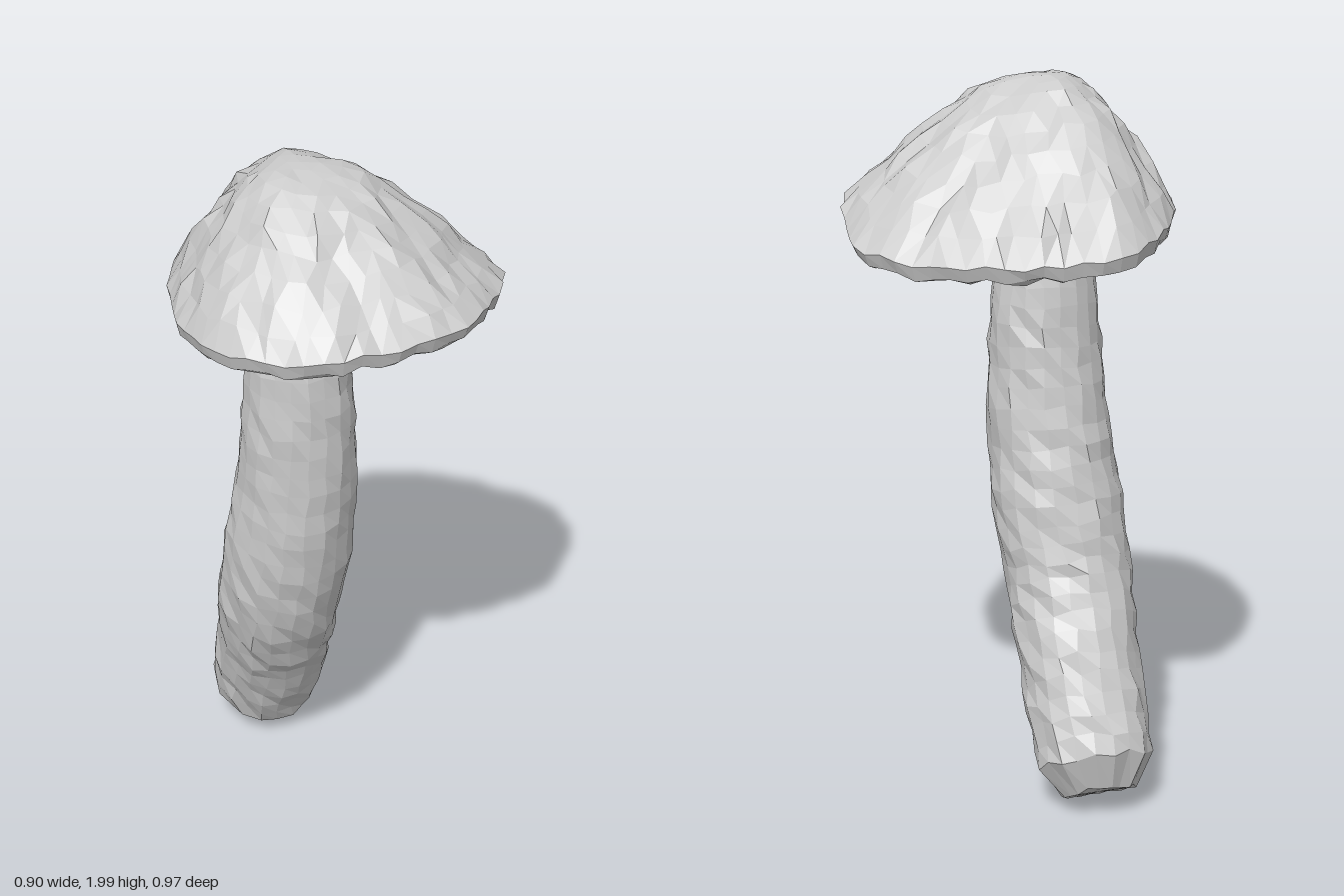
import * as THREE from 'three';

// Small seeded generator for the hand-carved surface, range -1..1
function makeNoise(seed) {
  return () => {
    seed = (seed * 16807) % 2147483647;
    return (seed / 2147483647) * 2 - 1;
  };
}

const curve = (points, closed = false) =>
  new THREE.CatmullRomCurve3(points.map((p) => new THREE.Vector3(...p)), closed, 'centripetal');

function buildMesh(name, points, index, material) {
  const geometry = new THREE.BufferGeometry().setFromPoints(points);
  geometry.setIndex(index);
  geometry.computeVertexNormals();
  const mesh = new THREE.Mesh(geometry, material);
  mesh.name = name;
  return mesh;
}

// Skins a stack of closed rings from top to bottom; the last ring is a point
function loft(name, rings, material) {
  const n = rings[0].length;
  const index = [];
  for (let j = 0; j < rings.length - 1; j++) {
    for (let i = 0; i < n; i++) {
      const k = (i + 1) % n;
      const a = j * n + i, b = j * n + k, c = a + n, d = b + n;
      index.push(a, b, c);
      if (j < rings.length - 2) index.push(b, d, c);
    }
  }
  return buildMesh(name, rings.flat(), index, material);
}

// Disc of evenly sized triangles: ring k holds 6k points around one middle point
function hexDisc(name, rings, material) {
  const at = (k, i) => (k === 0 ? 0 : 1 + 3 * k * (k - 1) + (i % (6 * k)));
  const index = [];
  for (let k = 1; k < rings.length; k++) {
    for (let sector = 0; sector < 6; sector++) {
      for (let j = 0; j < k; j++) {
        const o = sector * k + j, i = sector * (k - 1) + j;
        index.push(at(k - 1, i), at(k, o + 1), at(k, o));
        if (j < k - 1) index.push(at(k - 1, i), at(k - 1, i + 1), at(k, o + 1));
      }
    }
  }
  return buildMesh(name, rings.flat(), index, material);
}

// Bent stem: rings square to a curved centre line, with a blunt foot
function createStem(material) {
  const noise = makeNoise(71);
  const stations = [ // x, y, z, radius
    [-0.095, 1.66, 0.01, 0.125], [-0.095, 1.55, 0.013, 0.132],
    [-0.097, 1.4, 0.013, 0.148], [-0.1, 1.2, 0.004, 0.16],
    [-0.114, 1.0, -0.014, 0.172], [-0.138, 0.8, -0.043, 0.183],
    [-0.17, 0.6, -0.092, 0.177], [-0.2, 0.4, -0.19, 0.168],
    [-0.235, 0.22, -0.285, 0.166], [-0.25, 0.14, -0.328, 0.158],
  ];
  const path = curve(stations.map((s) => s.slice(0, 3)));
  const radii = curve(stations.map((s, i) => [s[3], i, 0]));
  const sides = 20, steps = 28;

  const ring = (centre, tangent, radius, rough) => {
    const u = new THREE.Vector3(1, 0, 0).addScaledVector(tangent, -tangent.x).normalize();
    const v = new THREE.Vector3().crossVectors(tangent, u);
    return Array.from({ length: sides }, (_, i) => {
      const a = (i / sides) * Math.PI * 2 + noise() * rough * 5;
      const r = radius + noise() * rough;
      return centre.clone()
        .addScaledVector(u, Math.cos(a) * r)
        .addScaledVector(v, Math.sin(a) * r)
        .addScaledVector(tangent, noise() * rough);
    });
  };

  const rings = [];
  for (let j = 0; j <= steps; j++) {
    const t = path.getUtoTmapping(j / steps);
    // the lower half is rougher than the neck
    rings.push(ring(path.getPoint(t), path.getTangent(t), radii.getPoint(t).x, 0.004 + 0.005 * t));
  }
  const end = path.getTangent(1);
  const foot = new THREE.Vector3(-0.262, 0.058, -0.348);
  rings.push(ring(foot, end, 0.1, 0.006), ring(foot, end, 0, 0));
  return loft('stem', rings, material);
}

// Lopsided domed cap with a wavy rim and an off-centre crown
function createCap(material) {
  const noise = makeNoise(1234);
  const rim = curve([
    [0.45, 1.655, -0.07], [0.43, 1.67, 0.09], [0.37, 1.68, 0.27], [0.22, 1.675, 0.39],
    [0, 1.66, 0.48], [-0.12, 1.655, 0.465], [-0.25, 1.645, 0.41], [-0.37, 1.64, 0.27],
    [-0.445, 1.645, 0.02], [-0.45, 1.645, -0.12], [-0.41, 1.63, -0.3], [-0.365, 1.605, -0.41],
    [-0.28, 1.58, -0.47], [-0.1, 1.57, -0.483], [0.06, 1.56, -0.483], [0.2, 1.56, -0.44],
    [0.38, 1.58, -0.33],
  ], true);
  const crown = new THREE.Vector3(-0.09, 2, 0);
  const hollow = new THREE.Vector3(-0.09, 1.62, 0.01);

  // share of the way down to the rim, for even steps outwards from the crown
  const falls = [0, 0.01, 0.045, 0.105, 0.195, 0.31, 0.435, 0.565, 0.705, 0.85, 1];
  const last = falls.length - 1;
  const edge = rim.getSpacedPoints(6 * last).slice(0, -1).map((e) => {
    const s = 1 + noise() * 0.012;
    return new THREE.Vector3(e.x * s, e.y + noise() * 0.01, e.z * s);
  });

  const top = falls.map((fall, k) => {
    if (k === 0) return [crown];
    if (k === last) return edge;
    const rough = 0.009 * Math.min(1, k / 4);
    return Array.from({ length: 6 * k }, (_, i) => {
      const e = rim.getPointAt(i / (6 * k));
      const s = k / last;
      // the left side bulges fuller than the right
      const fullness = 1 + 0.2 * THREE.MathUtils.smoothstep(-e.x, -0.2, 0.3);
      return new THREE.Vector3(
        crown.x + (e.x - crown.x) * s + noise() * rough * 1.4,
        crown.y + (e.y - crown.y) * fall ** fullness + noise() * rough,
        crown.z + (e.z - crown.z) * s + noise() * rough * 1.4,
      );
    });
  });

  // rolled lip, then the shallow underside
  const under = [[0.975, 0.035], [0.94, 0.042], [0.75, 0.028], [0.5, 0.012], [0.25, 0], [0, 0]]
    .map(([spread, drop]) => edge.map((e) => {
      const p = hollow.clone().lerp(e, spread);
      p.y += -drop + (spread > 0.9 ? noise() * 0.008 : spread > 0 ? noise() * 0.003 : 0);
      return p;
    }));

  const cap = new THREE.Group();
  cap.name = 'cap';
  cap.add(
    hexDisc('capDome', top, material),
    loft('capUnderside', [edge, ...under], material),
  );
  return cap;
}

export function createModel() {
  const material = new THREE.MeshStandardMaterial({ color: 0xcccccc, flatShading: true });
  const mushroom = new THREE.Group();
  mushroom.name = 'mushroom';
  mushroom.add(createStem(material), createCap(material));
  return mushroom;
}
